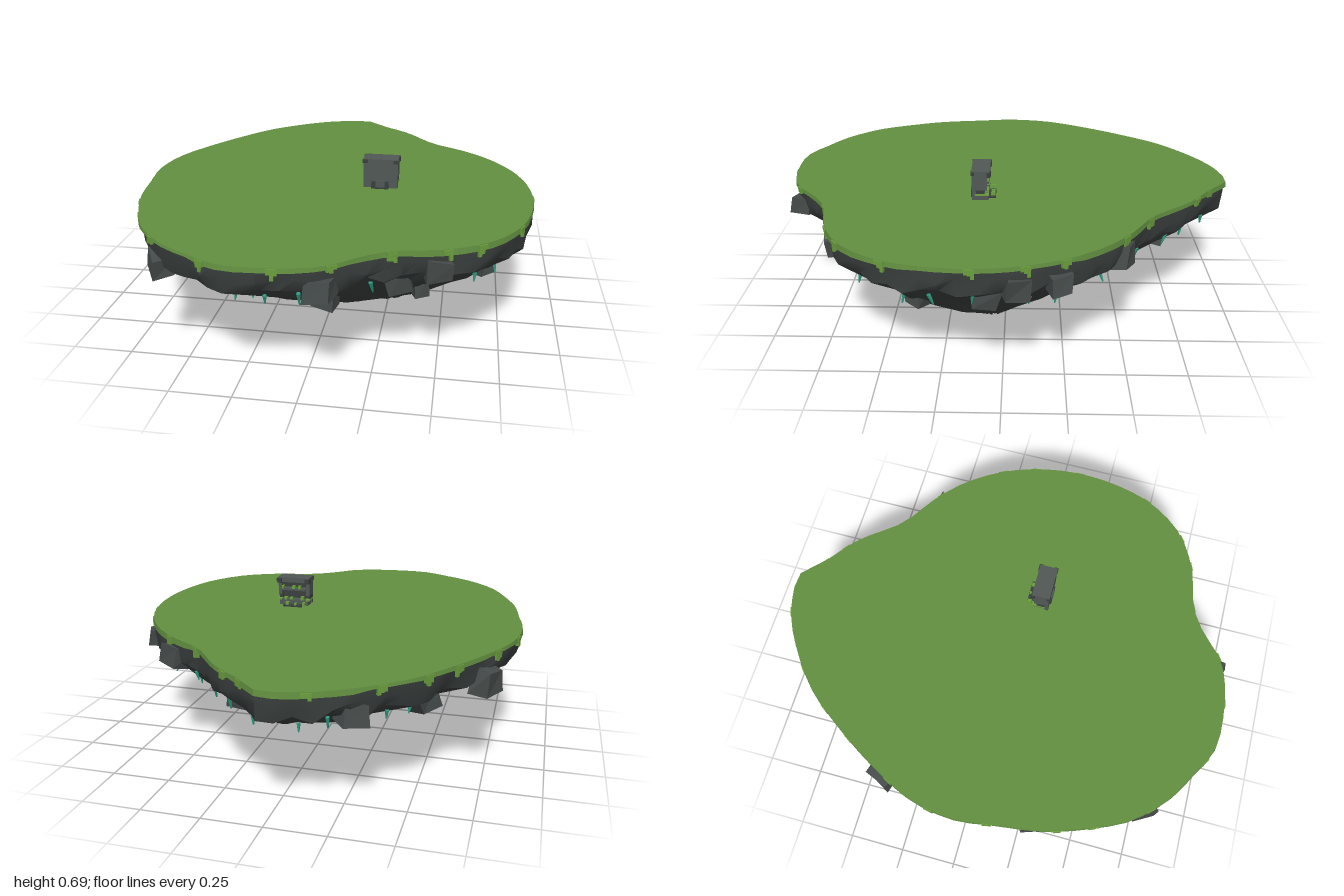
import * as THREE from 'three';
import { toCreasedNormals } from 'three/addons/utils/BufferGeometryUtils.js';

const mat = (name, color) => new THREE.MeshStandardMaterial({ name, color });

// repeatable noise in 0..1
const noise = (a, b = 0) => {
  const s = Math.sin(a * 127.1 + b * 311.7 + 4.3) * 43758.5453;
  return s - Math.floor(s);
};

// island outline seen from above (x, z), starting at the back and going round by +x
const OUTLINE = [
  [0.02, -1], [0.1, -0.92], [0.25, -0.8], [0.4, -0.62], [0.55, -0.52], [0.68, -0.4], [0.79, -0.23],
  [0.85, -0.05], [0.87, 0.12], [0.855, 0.3], [0.8, 0.48], [0.68, 0.64], [0.52, 0.73], [0.32, 0.78],
  [0.22, 0.84], [0.12, 0.93], [0.01, 0.975], [-0.28, 0.99], [-0.42, 0.92], [-0.55, 0.84], [-0.68, 0.7],
  [-0.73, 0.6], [-0.81, 0.38], [-0.845, 0.15], [-0.865, 0], [-0.835, -0.2], [-0.74, -0.4],
  [-0.6, -0.62], [-0.48, -0.77], [-0.25, -0.94], [-0.1, -0.995],
];
const curve = new THREE.CatmullRomCurve3(OUTLINE.map(([x, z]) => new THREE.Vector3(x, 0, z)), true, 'centripetal');
const N = 80;
const rim = curve.getSpacedPoints(N).slice(0, N);
const APEX = new THREE.Vector3(0.25, 0, 0.05);

// underside profile: share of the way from the lowest point to the rim, height
const PROFILE = [[0.09, 0.005], [0.2, 0.045], [0.34, 0.095], [0.57, 0.205], [0.8, 0.32], [0.98, 0.425], [1, 0.48], [0.99, 0.535]];

function heightAt(t) {
  for (let i = 1; i < 7; i++) {
    const [t0, y0] = PROFILE[i - 1], [t1, y1] = PROFILE[i];
    if (t <= t1) return y0 + ((t - t0) / (t1 - t0)) * (y1 - y0);
  }
  return 0.5;
}

function surfacePoint(u, t) {
  const p = APEX.clone().lerp(curve.getPointAt(u), t);
  p.y = heightAt(t);
  return p;
}

// skin closed rings from bottom to top, with optional centre points
function loft(rings, bottom, top) {
  const pos = [], idx = [], n = rings[0].length;
  rings.flat().forEach((p) => pos.push(p.x, p.y, p.z));
  for (let i = 0; i < rings.length - 1; i++) for (let j = 0; j < n; j++) {
    const k = (j + 1) % n, a = i * n + j, b = i * n + k;
    idx.push(a, a + n, b, b, a + n, b + n);
  }
  const cap = (p, base, up) => {
    const c = pos.length / 3;
    pos.push(p.x, p.y, p.z);
    for (let j = 0; j < n; j++) {
      const k = (j + 1) % n;
      if (up) idx.push(c, base + k, base + j);
      else idx.push(c, base + j, base + k);
    }
  };
  if (bottom) cap(bottom, 0, false);
  if (top) cap(top, (rings.length - 1) * n, true);
  const g = new THREE.BufferGeometry();
  g.setAttribute('position', new THREE.Float32BufferAttribute(pos, 3));
  g.setIndex(idx);
  return g;
}

// box with its corners pushed about
function chunkGeometry(w, h, d, seed) {
  const g = new THREE.BoxGeometry(w, h, d), p = g.attributes.position;
  for (let i = 0; i < p.count; i++) {
    const x = p.getX(i), y = p.getY(i), z = p.getZ(i);
    const id = (x > 0 ? 1 : 0) + (y > 0 ? 2 : 0) + (z > 0 ? 4 : 0) + seed * 8;
    p.setXYZ(i, x * (0.6 + 0.5 * noise(id, 1)), y * (0.6 + 0.5 * noise(id, 2)), z * (0.6 + 0.5 * noise(id, 3)));
  }
  return toCreasedNormals(g, 0.05);
}

export function createModel() {
  const model = new THREE.Group();
  model.name = 'floatingIsland';
  const rock = mat('darkRock', 0x3b403f), chunkRock = mat('greyRock', 0x454b4a);
  const grass = mat('grass', 0x628f40), tuftGreen = mat('brightGrass', 0x6a9f3c);
  const crystal = mat('tealCrystal', 0x2c9a80);
  const stone = mat('stone', 0x505856), darkStone = mat('darkStone', 0x3a403e);

  const add = (name, geometry, material, parent = model) => {
    const mesh = new THREE.Mesh(geometry, material);
    mesh.name = name;
    parent.add(mesh);
    return mesh;
  };

  // rocky underside with gullies running down to the lowest point
  const rings = PROFILE.map(([t, y], i) => rim.map((r, j) => {
    const ridge = noise(Math.floor(j / 2), 7) * 0.035 * Math.sin(Math.PI * Math.min(t, 1));
    const wear = i === 7 ? 0 : noise(j, i) * (i > 4 ? 0.025 : 0.04) * t;
    const p = APEX.clone().lerp(r, t - wear);
    p.y = y + ridge + (i === 5 || i === 6 ? (noise(j, 20 + i) - 0.4) * 0.035 : 0);
    if (i === 0) p.y = noise(j, 9) * 0.012;
    return p;
  }));
  const under = loft(rings, new THREE.Vector3(0.25, 0.02, 0.05), new THREE.Vector3(0, 0.535, 0));
  add('rockUnderside', toCreasedNormals(under, 0.65), rock);

  // grass cap with a ragged lower edge
  const edge = rim.map((r, j) => new THREE.Vector3(r.x, 0.533 - 0.016 * noise(Math.floor(j / 3), 31), r.z));
  const lip = rim.map((r) => new THREE.Vector3(r.x * 0.997, 0.545, r.z * 0.997));
  const capGeometry = loft([edge, lip], null, new THREE.Vector3(0, 0.545, 0));
  add('grassCap', toCreasedNormals(capGeometry, 0.5), grass);

  // loose rocks stuck in the sides: x, y, z, width, height, depth
  const outcrops = new THREE.Group();
  outcrops.name = 'rockOutcrops';
  model.add(outcrops);
  [
    [0.07, 0.35, 0.74, 0.1, 0.17, 0.09], [0.34, 0.37, 0.65, 0.1, 0.13, 0.09], [0.42, 0.28, 0.5, 0.07, 0.09, 0.07],
    [0.78, 0.38, 0.06, 0.12, 0.1, 0.1], [0.66, 0.33, 0.34, 0.1, 0.12, 0.08], [0.56, 0.45, -0.48, 0.12, 0.1, 0.1],
    [0.78, 0.44, -0.22, 0.1, 0.1, 0.09], [0.83, 0.44, -0.06, 0.1, 0.1, 0.08], [-0.74, 0.43, -0.37, 0.14, 0.12, 0.11],
    [-0.78, 0.43, 0.3, 0.1, 0.1, 0.08], [-0.59, 0.42, 0.74, 0.12, 0.1, 0.1], [0.49, 0.45, 0.7, 0.11, 0.1, 0.08],
    [0.08, 0.45, 0.92, 0.12, 0.1, 0.1], [-0.3, 0.43, -0.84, 0.12, 0.1, 0.09], [-0.5, 0.36, -0.45, 0.13, 0.12, 0.09],
    [0.2, 0.38, -0.66, 0.1, 0.12, 0.09],
  ].forEach(([x, y, z, w, h, d], i) => {
    const m = add('rockOutcrop', chunkGeometry(w, h, d, i + 1), chunkRock, outcrops);
    m.position.set(x, y, z);
    m.rotation.set((noise(i, 51) - 0.5) * 0.4, Math.atan2(x - 0.25, z - 0.05), (noise(i, 52) - 0.5) * 0.5);
  });

  // tufts of grass hanging over the rim
  const tufts = new THREE.Group();
  tufts.name = 'hangingGrass';
  model.add(tufts);
  for (let i = 0; i < 24; i++) {
    const u = (i + 0.6 * noise(i, 61)) / 24, p = curve.getPointAt(u), tan = curve.getTangentAt(u);
    const clump = new THREE.Group();
    clump.name = 'grassTuft';
    clump.position.set(p.x * 0.995, 0.542, p.z * 0.995);
    clump.rotation.y = Math.atan2(-tan.z, tan.x);
    for (let k = 0; k < 3; k++) {
      const h = 0.015 + 0.032 * noise(i, 70 + k);
      add('blade', new THREE.BoxGeometry(0.014, h, 0.012), tuftGreen, clump).position.set((k - 1) * 0.013, -h / 2, 0);
    }
    tufts.add(clump);
  }

  // small crystals hanging from the underside
  const crystals = new THREE.Group();
  crystals.name = 'crystals';
  model.add(crystals);
  for (let i = 0; i < 30; i++) {
    const t = i % 6 === 5 ? 0.62 + 0.12 * noise(i, 81) : 0.82 + 0.14 * noise(i, 82);
    const p = surfacePoint((i + 0.7 * noise(i, 83)) / 30, t);
    const h = 0.03 + 0.025 * noise(i, 84);
    const m = add('crystal', toCreasedNormals(new THREE.CylinderGeometry(0.009, 0.003, h, 5), 0.1), crystal, crystals);
    m.position.set(p.x, p.y - 0.004, p.z);
    m.rotation.set((noise(i, 85) - 0.5) * 0.5, i, (noise(i, 86) - 0.5) * 0.5);
  }

  // stone shrine, open at the back; boxes given as ranges about its own centre line
  const shrine = new THREE.Group();
  shrine.name = 'shrine';
  shrine.position.x = 0.207;
  model.add(shrine);
  const block = (name, x0, x1, y0, y1, z0, z1, material) =>
    add(name, new THREE.BoxGeometry(x1 - x0, y1 - y0, z1 - z0), material, shrine)
      .position.set((x0 + x1) / 2, (y0 + y1) / 2, (z0 + z1) / 2);
  block('frontWall', -0.075, 0.075, 0.56, 0.685, 0.125, 0.143, stone);
  block('roofSlab', -0.076, 0.076, 0.668, 0.69, 0.066, 0.145, stone);
  block('innerWall', -0.06, 0.06, 0.565, 0.668, 0.105, 0.125, darkStone);
  block('base', -0.07, 0.07, 0.558, 0.585, 0.072, 0.125, stone);
  block('floorSlab', -0.045, 0.045, 0.556, 0.564, 0.042, 0.09, darkStone);
  block('upperShelf', -0.06, 0.06, 0.628, 0.638, 0.07, 0.11, stone);
  block('doorstep', -0.04, 0.035, 0.556, 0.59, 0.14, 0.149, darkStone);
  block('doorPanel', -0.022, 0.018, 0.564, 0.596, 0.142, 0.15, stone);
  for (const s of [-1, 1]) {
    const x = s * 0.068;
    block('sideWall', x - 0.008, x + 0.008, 0.605, 0.67, 0.078, 0.126, stone);
    block('sidePier', x - 0.008, x + 0.008, 0.58, 0.607, 0.09, 0.126, darkStone);
    block('cornerBracket', x - 0.012, x + 0.012, 0.664, 0.686, 0.062, 0.08, darkStone);
    block('frontBracket', x - 0.012, x + 0.012, 0.672, 0.688, 0.132, 0.147, darkStone);
    block('sideMoss', x - 0.01, x + 0.01, 0.58, 0.588, 0.07, 0.13, tuftGreen);
  }

  // moss on the shelves and floor of the shrine
  for (let i = 0; i < 9; i++) {
    const x = -0.055 + i * 0.0135, w = 0.004 + 0.004 * noise(i, 91), low = i % 3 === 0;
    const y = low ? 0.564 : i % 2 ? 0.585 : 0.638, z = low ? 0.05 : 0.076;
    block('moss', x - w, x + w, y - 0.002, y + 0.005 + 0.01 * noise(i, 92), z - 0.006, z + 0.012, tuftGreen);
  }
  return model;
}
